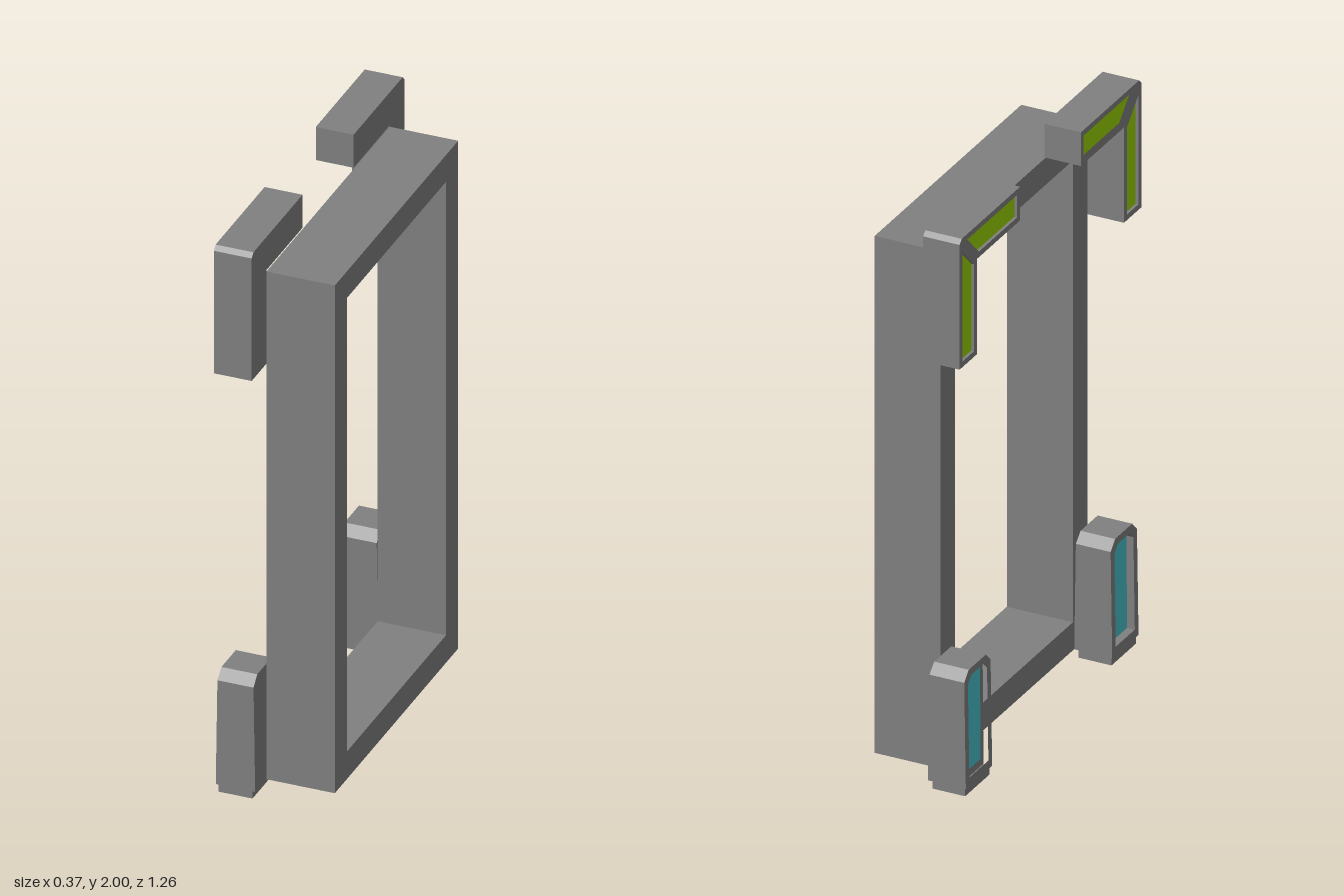
import * as THREE from 'three';

// Extrudes a (z, y) outline sideways from x = x0 towards -x; s mirrors it in z
function slab(points, x0, depth, s, hole) {
  const toVec = (p) => new THREE.Vector2(p[0] * s, p[1]);
  const shape = new THREE.Shape(points.map(toVec));
  if (hole) [].concat([hole].flat(hole[0][0].length ? 1 : 0)).forEach((h) => shape.holes.push(new THREE.Path(h.map(toVec))));
  const g = new THREE.ExtrudeGeometry(shape, { depth, bevelEnabled: false });
  g.rotateY(-Math.PI / 2);
  g.translate(x0, 0, 0);
  return g;
}

const rect = (a, b, c, d) => [[a, b], [c, b], [c, d], [a, d]];

// Rectangle whose top corners are cut off
const capped = (z0, y0, z1, y1, c) => [[z0, y0], [z1, y0], [z1, y1 - c], [z1 - c, y1], [z0 + c, y1], [z0, y1 - c]];

// Widens a foot slightly in x towards its base
function taper(g) {
  const p = g.attributes.position, mid = -0.1185;
  for (let i = 0; i < p.count; i++) {
    const k = 1 + 0.1 * (1 - (p.getY(i) - 0.03) / 0.41);
    p.setX(i, mid + (p.getX(i) - mid) * k);
  }
  g.computeVertexNormals();
  return g;
}

export function createModel() {
  const grey = new THREE.MeshStandardMaterial({ name: 'grey', color: 0x808080 });
  const green = new THREE.MeshStandardMaterial({ name: 'green', color: 0x98d200 });
  const teal = new THREE.MeshStandardMaterial({ name: 'teal', color: 0x48c0c8 });

  const model = new THREE.Group();
  const add = (parent, name, geometry, material) => {
    const m = new THREE.Mesh(geometry, material);
    m.name = name;
    parent.add(m);
  };

  // Main rectangular frame
  add(model, 'frame', slab(rect(-0.507, 0.03, 0.507, 1.875), 0.185, 0.235, 1, [rect(-0.407, 0.13, 0.407, 1.778)]), grey);

  for (const s of [1, -1]) {
    const side = s > 0 ? 'Front' : 'Back';

    // Angled bracket over the upper corner
    const bracket = new THREE.Group();
    bracket.name = 'cornerBracket' + side;
    model.add(bracket);
    const angle = [[0.21, 2], [0.613, 2], [0.628, 1.985], [0.628, 1.54], [0.508, 1.54], [0.508, 1.88], [0.21, 1.88]];
    const across = [[0.23, 1.98], [0.575, 1.98], [0.495, 1.9], [0.23, 1.9]];
    const down = [[0.608, 1.56], [0.608, 1.95], [0.528, 1.87], [0.528, 1.56]];
    add(bracket, 'bracketBody', slab(angle, -0.05, 0.118, s), grey);
    add(bracket, 'bracketRim', slab(angle, -0.168, 0.012, s, [across, down]), grey);
    add(bracket, 'acrossInlay', slab(across, -0.167, 0.003, s), green);
    add(bracket, 'downInlay', slab(down, -0.167, 0.003, s), green);

    // Foot block with a recessed panel
    const foot = new THREE.Group();
    foot.name = 'foot' + side;
    model.add(foot);
    const block = capped(0.415, 0.03, 0.597, 0.44, 0.032);
    const window = capped(0.44, 0.06, 0.572, 0.415, 0.026);
    add(foot, 'footBody', taper(slab(block, -0.057, 0.095, s)), grey);
    add(foot, 'footRim', taper(slab(block, -0.152, 0.028, s, [window])), grey);
    add(foot, 'footInlay', taper(slab(window, -0.151, 0.004, s)), teal);

    // Hollow pad under the foot
    const pad = new THREE.Shape(rect(-0.18, -0.59, -0.063, -0.422).map((p) => new THREE.Vector2(p[0], p[1] * s)));
    pad.holes.push(new THREE.Path(rect(-0.15, -0.555, -0.093, -0.457).map((p) => new THREE.Vector2(p[0], p[1] * s))));
    const padGeometry = new THREE.ExtrudeGeometry(pad, { depth: 0.03, bevelEnabled: false });
    padGeometry.rotateX(-Math.PI / 2);
    add(foot, 'footPad', padGeometry, grey);
  }
  return model;
}
